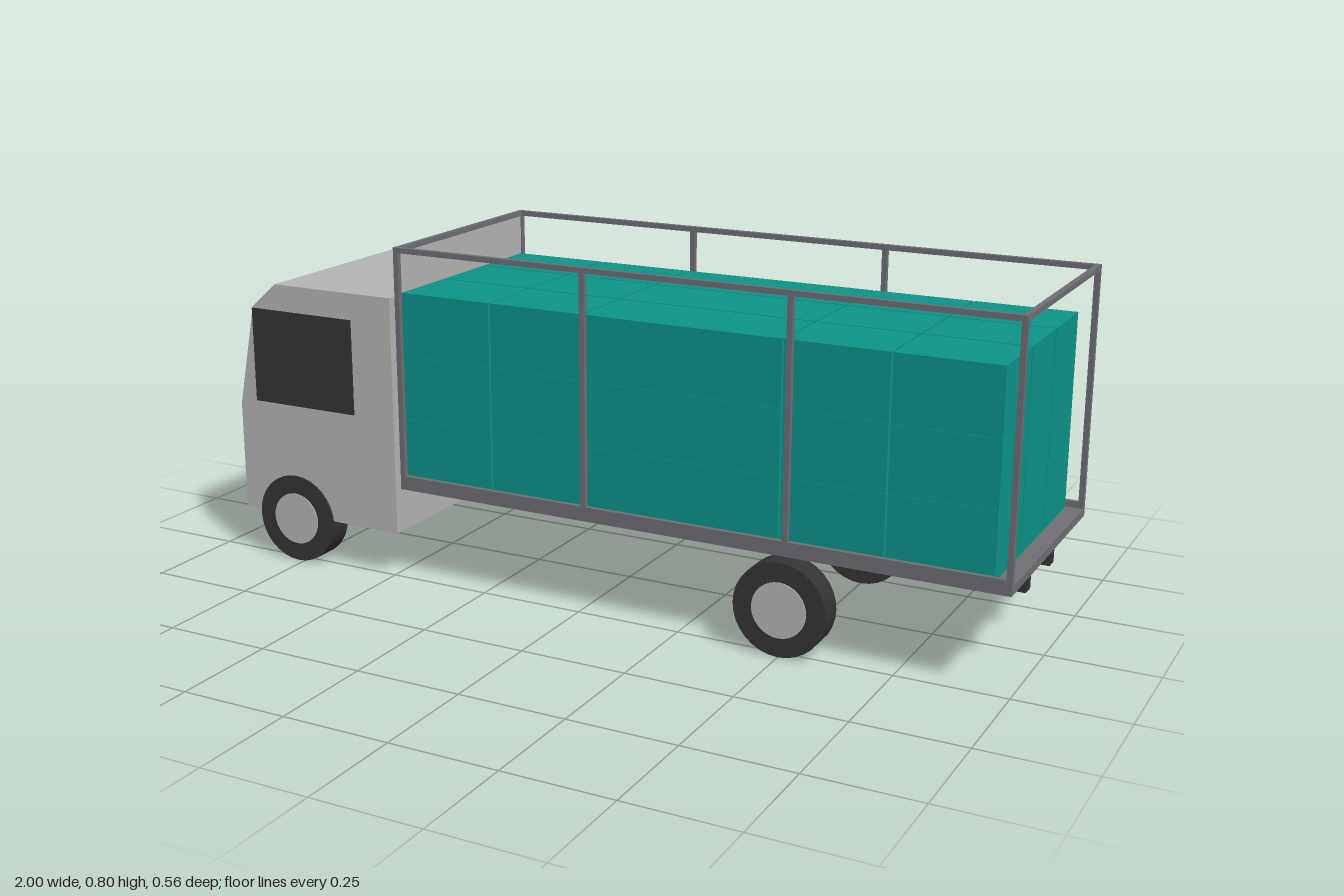
import * as THREE from 'three';

const mat = (name, color) => {
  const m = new THREE.MeshStandardMaterial({ color });
  m.name = name;
  return m;
};

export function createModel() {
  const truck = new THREE.Group();
  truck.name = 'cargoTruck';
  const paint = mat('light grey paint', 0xb4b6b5);
  const dark = mat('charcoal', 0x343434);
  const steel = mat('steel grey', 0x6e6e75);
  const teal = mat('teal cargo', 0x0d9488);

  const add = (parent, name, geometry, material) => {
    const m = new THREE.Mesh(geometry, material);
    m.name = name;
    parent.add(m);
    return m;
  };
  // Box given by its minimum and maximum corners
  const box = (parent, name, material, x0, x1, y0, y1, z0, z1) => {
    const m = add(parent, name, new THREE.BoxGeometry(x1 - x0, y1 - y0, z1 - z0), material);
    m.position.set((x0 + x1) / 2, (y0 + y1) / 2, (z0 + z1) / 2);
    return m;
  };
  const group = (name) => {
    const g = new THREE.Group();
    g.name = name;
    truck.add(g);
    return g;
  };

  // Cab: side profile extruded across the width
  const cab = group('cab');
  const profile = [[-0.918, 0.115], [-0.475, 0.115], [-0.475, 0.68], [-0.8, 0.68], [-0.868, 0.62], [-0.918, 0.375]];
  const shape = new THREE.Shape(profile.map(([x, y]) => new THREE.Vector2(x, y)));
  const cabGeo = new THREE.ExtrudeGeometry(shape, { depth: 0.54, bevelEnabled: false });
  cabGeo.translate(0, 0, -0.27);
  add(cab, 'cabBody', cabGeo, paint);

  // Windscreen: thin plate lying on the sloping front face
  const tilt = Math.atan2(0.05, 0.245);
  const screen = add(cab, 'windscreen', new THREE.BoxGeometry(0.006, 0.235, 0.51), dark);
  screen.position.set(-0.894, 0.4975, 0);
  screen.rotation.z = -tilt;
  box(cab, 'frontGrille', steel, -0.921, -0.915, 0.148, 0.222, -0.25, 0.25);
  for (const s of [-1, 1]) {
    box(cab, 'sideWindow', dark, -0.868, -0.585, 0.39, 0.617, s * 0.271 - 0.003, s * 0.271 + 0.003);
  }

  // Chassis rails
  const chassis = group('chassis');
  for (const s of [-1, 1]) {
    box(chassis, 'chassisRail', dark, -1, 0.98, 0.175, 0.232, s * 0.089 - 0.016, s * 0.089 + 0.016);
  }

  // Wheels with hub discs on the outside
  const wheels = group('wheels');
  for (const x of [-0.765, 0.5]) {
    for (const s of [-1, 1]) {
      const tyre = add(wheels, 'tyre', new THREE.CylinderGeometry(0.107, 0.107, 0.06, 32), dark);
      tyre.rotation.x = Math.PI / 2;
      tyre.position.set(x, 0.107, s * 0.245);
      const hub = add(wheels, 'hub', new THREE.CylinderGeometry(0.063, 0.063, 0.006, 32), paint);
      hub.rotation.x = Math.PI / 2;
      hub.position.set(x, 0.107, s * 0.2745);
    }
  }

  // Load bed with rim
  const bed = group('loadBed');
  box(bed, 'bedFloor', steel, -0.455, 0.998, 0.23, 0.249, -0.274, 0.274);
  for (const s of [-1, 1]) {
    box(bed, 'sideRim', steel, -0.455, 0.998, 0.23, 0.263, s * 0.271 - 0.006, s * 0.271 + 0.006);
  }
  box(bed, 'headboard', paint, -0.453, -0.447, 0.249, 0.79, -0.265, 0.265);

  // Open cage of posts and top bars
  const cage = group('cage');
  const xs = [-0.449, 0.028, 0.51, 0.992];
  for (const s of [-1, 1]) {
    for (const x of xs) {
      box(cage, 'post', steel, x - 0.006, x + 0.006, 0.249, 0.79, s * 0.271 - 0.006, s * 0.271 + 0.006);
    }
    box(cage, 'topSideBar', steel, -0.455, 0.998, 0.788, 0.8, s * 0.271 - 0.006, s * 0.271 + 0.006);
  }
  for (const x of [xs[0], xs[3]]) {
    box(cage, 'topCrossBar', steel, x - 0.006, x + 0.006, 0.788, 0.8, -0.271, 0.271);
  }

  // Cargo: stacked crates, the middle column twice as long
  const cargo = group('cargo');
  const cuts = [-0.448, -0.215, 0.02, 0.49, 0.725, 0.96];
  const gap = 0.002;
  for (let i = 0; i < 5; i++) {
    for (let j = 0; j < 3; j++) {
      for (let k = 0; k < 3; k++) {
        const y = 0.249 + j * 0.1485;
        const z = -0.263 + k * 0.1753;
        box(cargo, 'crate', teal, cuts[i] + gap, cuts[i + 1] - gap, y, y + 0.148, z + gap, z + 0.1753 - gap);
      }
    }
  }
  return truck;
}
